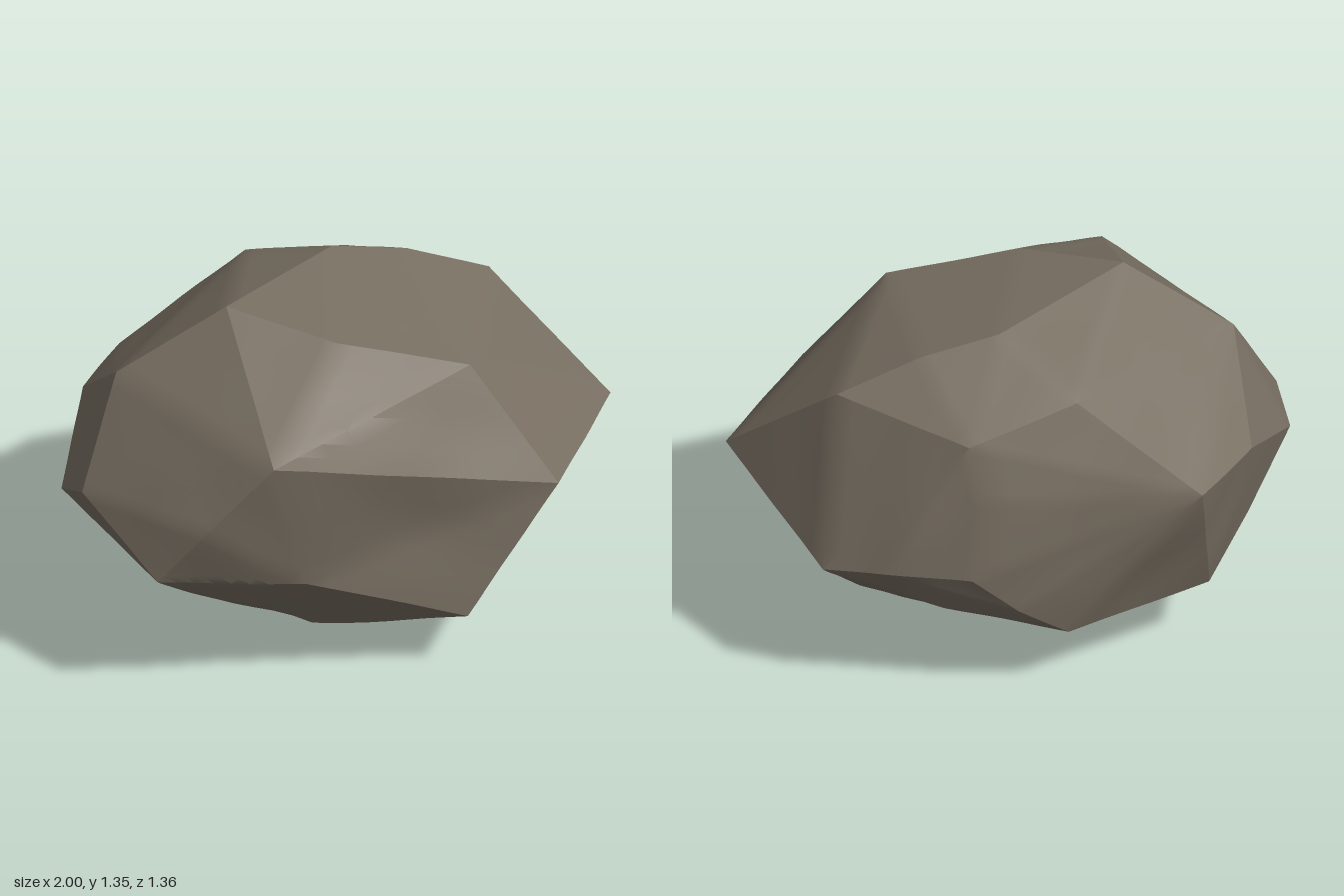
import * as THREE from 'three';
import { ConvexGeometry } from 'three/addons/geometries/ConvexGeometry.js';
import { mergeVertices, toCreasedNormals } from 'three/addons/utils/BufferGeometryUtils.js';

// Main corners of the boulder
const corners = [
  // right end and front
  [1, 0.73, 0.09], [0.64, 0.72, 0.59], [0.3, 0.235, 0.59], [-0.45, 1.04, 0.68],
  [-0.82, 0.54, 0.5], [-0.68, 0.77, 0.605],
  // left end
  [-1, 0.65, -0.04], [-0.98, 0.73, 0.13], [-0.8, 1.1, -0.03], [-0.8, 0.82, -0.4], [-0.82, 0.41, -0.2],
  // top
  [-0.42, 1.35, 0.06], [0.08, 1.315, -0.26], [0.36, 1.25, -0.26], [0.66, 1.12, -0.25],
  [0.37, 1.16, 0.41], [-0.09, 1.28, 0.31],
  // back
  [-0.58, 0.81, -0.65], [0.25, 0.56, -0.68], [0.25, 1.08, -0.61], [-0.15, 1.18, -0.54],
  [0.75, 0.53, -0.47], [0.54, 0.57, -0.6], [0.2, 0.88, -0.655], [0.33, 0.38, -0.56], [0.08, 0.4, -0.66],
  // underside
  [-0.11, 0.25, -0.6], [-0.65, 0.26, -0.39], [0, 0, -0.1], [0.52, 0.07, 0.07],
  [0.39, 0.06, 0.19], [-0.15, 0.055, 0.21], [-0.5, 0.225, 0.2], [-0.66, 0.265, -0.03],
].map((p) => new THREE.Vector3(...p));

// Corner on the overhanging front ridge, above the hollow underside
const ridge = new THREE.Vector3(-0.3, 0.48, 0.58);
corners.push(ridge);

// Joins the corners with a hull of a rounder copy, so shallow hollows survive
function facetTriangles() {
  const centre = new THREE.Vector3(0, 0.66, 0);
  const round = corners.map((p) => {
    const q = p.clone().sub(centre).multiply(new THREE.Vector3(0.7, 1, 1));
    return q.multiplyScalar(Math.pow(q.length(), -0.25) * (p === ridge ? 1.08 : 1));
  });
  const hull = new ConvexGeometry(round).getAttribute('position');
  const v = new THREE.Vector3();
  const points = [];
  for (let i = 0; i < hull.count; i++) {
    v.fromBufferAttribute(hull, i);
    let best = 0;
    round.forEach((q, j) => { if (q.distanceTo(v) < round[best].distanceTo(v)) best = j; });
    points.push(corners[best]);
  }
  return points;
}

// Splits every triangle into four
function subdivide(points) {
  const out = [];
  for (let i = 0; i < points.length; i += 3) {
    const [a, b, c] = points.slice(i, i + 3);
    const mid = (p, q) => p.clone().add(q).multiplyScalar(0.5);
    const ab = mid(a, b), bc = mid(b, c), ca = mid(c, a);
    out.push(a, ab, ca, ab, b, bc, ca, bc, c, ab, bc, ca);
  }
  return out;
}

const falloff = (p, x, y, z) => Math.exp(-((p.x - x) ** 2 + (p.y - y) ** 2 + (p.z - z) ** 2) / 0.05);

// Gentle weathering of the faces
function weather(p) {
  const n = Math.sin(p.x * 9 + p.y * 5) * Math.sin(p.y * 8 - p.z * 7 + 1) * Math.sin(p.z * 9 + p.x * 4 + 2);
  const q = p.clone();
  q.x *= 1 + 0.006 * n * (1 - p.x * p.x);
  q.z *= 1 + 0.012 * n;
  // shallow hollows in the front face and the underside
  q.z -= 0.015 * falloff(p, 0.05, 0.62, 0.62);
  q.y += 0.04 * falloff(p, -0.32, 0.14, 0.1);
  return q;
}

export function createModel() {
  const group = new THREE.Group();
  group.name = 'boulder';
  const stone = new THREE.MeshStandardMaterial({ color: 0x786f62 });
  stone.name = 'stone';

  let points = facetTriangles();
  for (let i = 0; i < 3; i++) points = subdivide(points);
  const raw = new THREE.BufferGeometry().setFromPoints(points.map(weather));
  const geometry = toCreasedNormals(mergeVertices(raw, 1e-4), 0.42);

  const rock = new THREE.Mesh(geometry, stone);
  rock.name = 'rock';
  group.add(rock);
  return group;
}
